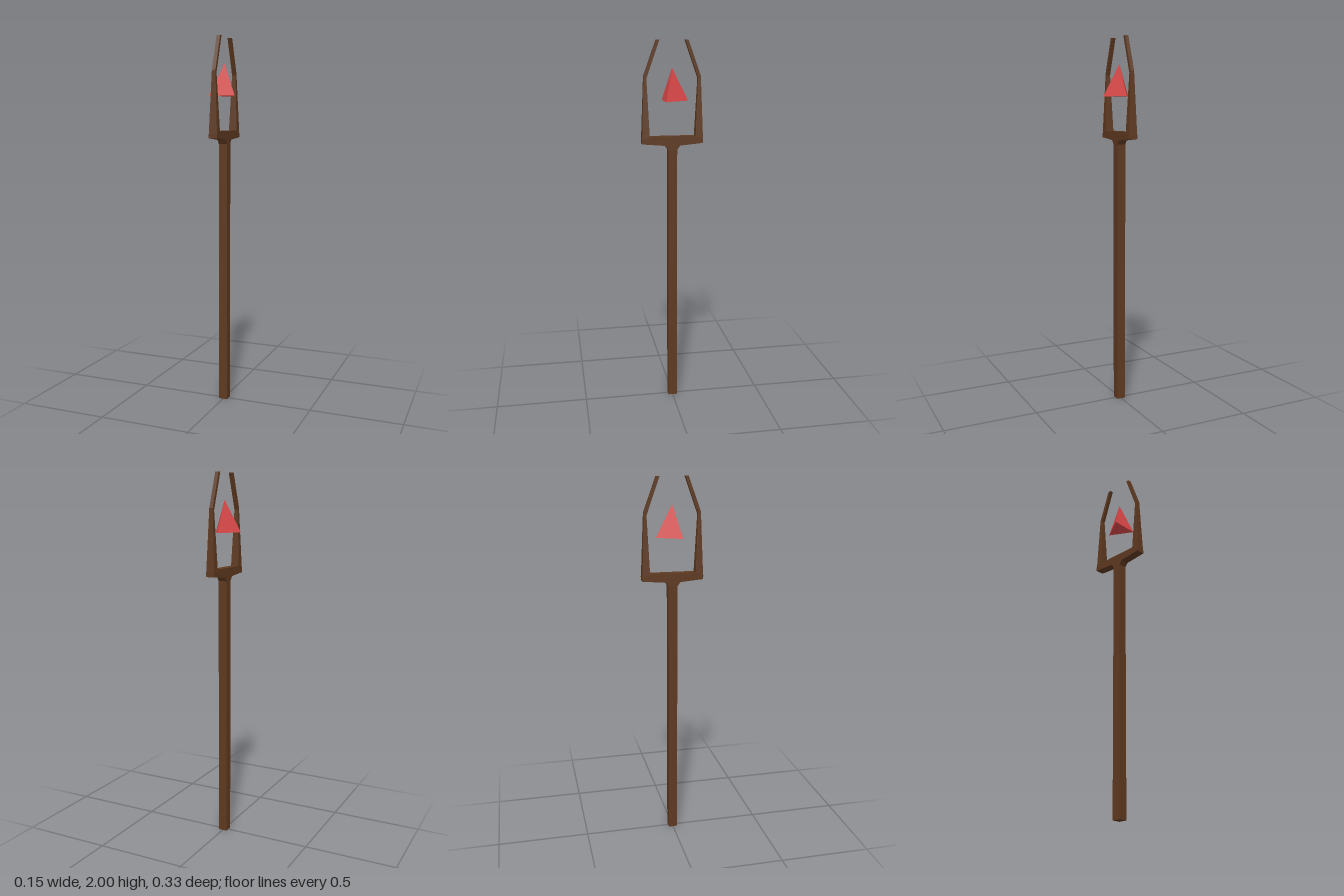
import * as THREE from 'three';

const wood = new THREE.MeshStandardMaterial({ color: 0x5e3920 });
wood.name = 'dark wood';
const red = new THREE.MeshStandardMaterial({ color: 0xd94747 });
red.name = 'red crystal';

const HALF = 0.024; // half thickness of the staff

function faceted(geometry) {
  const g = geometry.index ? geometry.toNonIndexed() : geometry;
  g.computeVertexNormals();
  return g;
}

// Tapered, bent prong: a three-level box whose levels follow the table below
function prongGeometry() {
  const levels = [
    { inner: [0.122, 1.49], outer: [0.164, 1.468], hx: HALF },
    { inner: [0.136, 1.806], outer: [0.151, 1.818], hx: 0.01 },
    { inner: [0.067, 2.0], outer: [0.085, 2.0], hx: 0.01 },
  ];
  const g = new THREE.BoxGeometry(2, 2, 2, 1, 2, 1);
  const p = g.attributes.position;
  for (let i = 0; i < p.count; i++) {
    const level = levels[Math.round(p.getY(i)) + 1];
    const [z, y] = p.getZ(i) > 0 ? level.outer : level.inner;
    p.setXYZ(i, p.getX(i) * level.hx, y, z);
  }
  return faceted(g);
}

export function createModel() {
  const model = new THREE.Group();
  model.name = 'staff';
  const add = (name, geometry, material) => {
    const mesh = new THREE.Mesh(geometry, material);
    mesh.name = name;
    model.add(mesh);
    return mesh;
  };

  // Square shaft
  const shaftTop = 1.435;
  const shaft = new THREE.BoxGeometry(HALF * 2, shaftTop, HALF * 2);
  add('shaft', shaft.translate(0, shaftTop / 2, 0), wood);

  // Crossbar with flared neck, outlined from the side and mirrored
  const half = [[HALF, shaftTop], [0.04, 1.457], [0.164, 1.468], [0.164, 1.49], [0.122, 1.505]];
  const outline = [...half, ...half.map(([z, y]) => [-z, y]).reverse()];
  const shape = new THREE.Shape(outline.map(([z, y]) => new THREE.Vector2(z, y)));
  const bar = new THREE.ExtrudeGeometry(shape, { depth: HALF * 2, bevelEnabled: false });
  add('crossbar', bar.translate(0, 0, -HALF).rotateY(Math.PI / 2), wood);

  // Front and back prongs
  const prong = prongGeometry();
  add('frontProng', prong, wood);
  add('backProng', prong, wood).rotation.y = Math.PI;

  // Floating three-sided crystal, one edge to the back
  const crystal = new THREE.ConeGeometry(0.086, 0.17, 3);
  crystal.rotateY(Math.PI).translate(0, 1.775, 0);
  add('crystal', faceted(crystal), red);

  return model;
}
